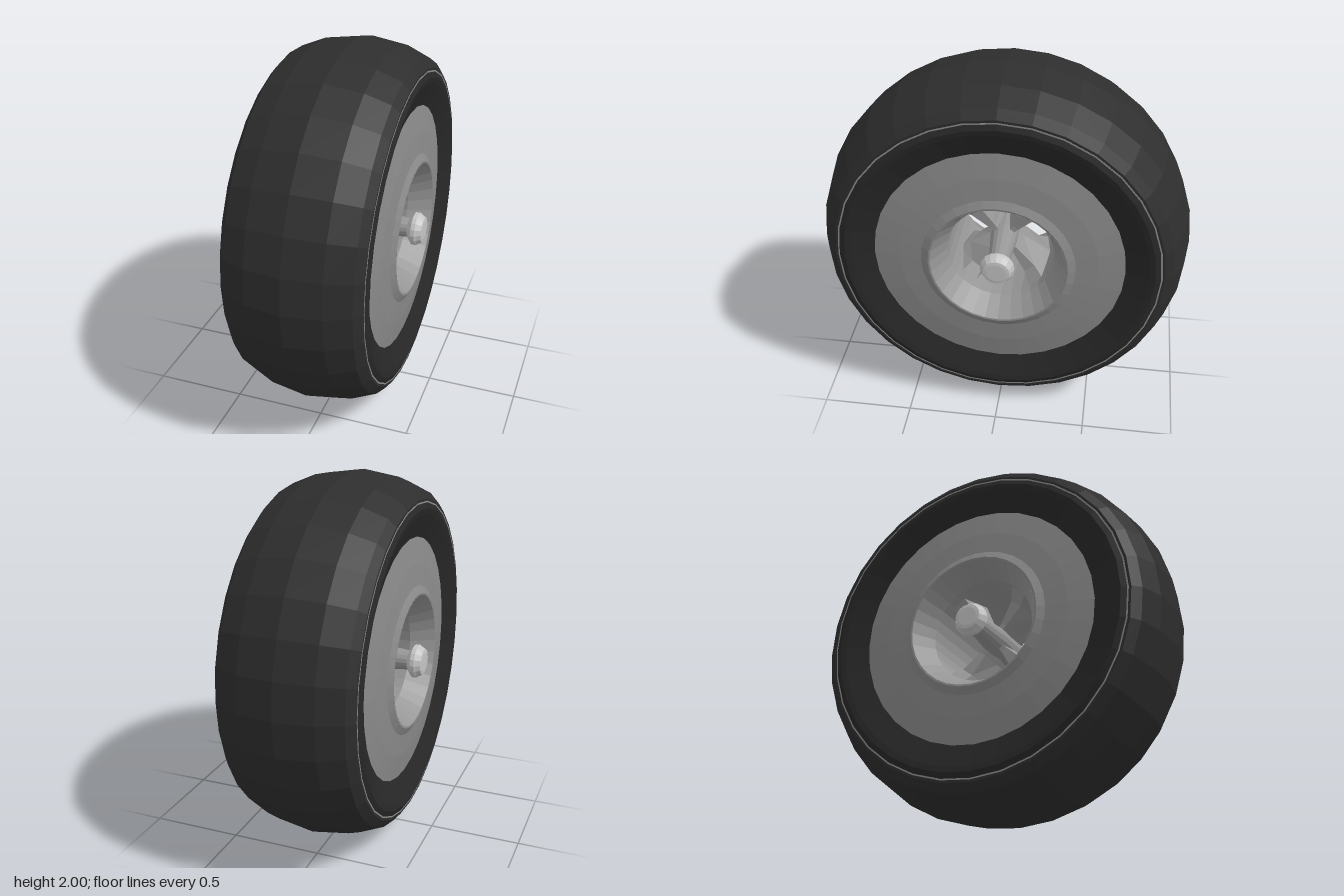
import * as THREE from 'three';

const SIDES = 32;
const paint = (name, color, side = THREE.FrontSide) => {
  const m = new THREE.MeshStandardMaterial({ color, flatShading: true, side });
  m.name = name;
  return m;
};

// Revolve [radius, x] points round the x axis
function revolve(points, sides = SIDES) {
  const g = new THREE.LatheGeometry(points.map(([r, x]) => new THREE.Vector2(r, x)), sides);
  return g.rotateZ(-Math.PI / 2);
}

// Mirror a half profile to the other side of the wheel
const mirrored = (half) => [...half.map(([r, x]) => [r, -x]).reverse(), ...half];

// Tapered spoke: six-sided cross-sections stacked along +y
function spokeGeometry() {
  const sections = [[0.04, 0.012, 0.03, 0.12], [0.1, 0.018, 0.036, 0.12], [0.23, 0.035, 0.08, 0.14], [0.3, 0.05, 0.103, 0.2]];
  const pos = [], index = [];
  for (const [r, f, m, d] of sections) {
    for (const [z, x] of [[-m, 0], [-f, -d], [f, -d], [m, 0], [f, d], [-f, d]]) pos.push(x, r, z);
  }
  for (let s = 0; s < sections.length - 1; s++) {
    for (let i = 0; i < 6; i++) {
      const a = s * 6 + i, b = s * 6 + (i + 1) % 6;
      index.push(a, b, b + 6, a, b + 6, a + 6);
    }
  }
  const g = new THREE.BufferGeometry();
  g.setAttribute('position', new THREE.Float32BufferAttribute(pos, 3));
  g.setIndex(index);
  g.computeVertexNormals();
  return g;
}

export function createModel() {
  const rubber = paint('tyre rubber', 0x2e2e2e);
  const sidewallPaint = paint('sidewall rubber', 0x282828);
  const grey = paint('rim grey', 0x8a8a8a);
  const metal = paint('spoke metal', 0x969696, THREE.DoubleSide);
  const bright = paint('hub metal', 0xc4c4c4);

  const wheel = new THREE.Group();
  wheel.name = 'wheel';
  wheel.position.y = 1;
  const add = (name, geometry, material) => {
    const mesh = new THREE.Mesh(geometry, material);
    mesh.name = name;
    wheel.add(mesh);
    return mesh;
  };

  // Tread and shoulders
  add('tread', revolve(mirrored([[1, 0], [0.97, 0.2], [0.915, 0.33], [0.87, 0.366], [0.857, 0.366], [0.84, 0.35]])), rubber);

  // Sidewalls, pinstripes, hub caps on both sides
  for (const side of [1, -1]) {
    const flip = (g) => (side < 0 ? g.rotateY(Math.PI) : g);
    add('sidewall', flip(revolve([[0.853, 0.34], [0.85, 0.366], [0.82, 0.378], [0.79, 0.372], [0.665, 0.327]])), sidewallPaint);
    add('pinstripe', flip(revolve([[0.857, 0.362], [0.857, 0.367], [0.849, 0.367]])), grey);
    add('hubCap', flip(revolve([[0.05, 0.34], [0.09, 0.37], [0.09, 0.392], [0.082, 0.402], [0.07, 0.424], [0.052, 0.427], [0, 0.427]], 16)), bright);
  }

  // Dished rim face with a raised lip
  add('rimFace', revolve(mirrored([[0.67, 0.327], [0.53, 0.348], [0.41, 0.358], [0.37, 0.378], [0.36, 0.376]])), grey);

  // Sloping mouth and inner barrel
  add('rimBarrel', revolve(mirrored([[0.36, 0.377], [0.29, 0.25], [0.29, 0]])), metal);

  // Axle, slightly flared towards the middle
  add('axle', revolve(mirrored([[0.075, 0], [0.075, 0.1], [0.05, 0.36]]), 16), metal);

  // Four wedge spokes on the diagonals
  const spoke = spokeGeometry();
  const tilt = THREE.MathUtils.degToRad(39.5);
  for (const angle of [tilt, -tilt, Math.PI - tilt, Math.PI + tilt]) {
    add('spoke', spoke, metal).rotation.x = angle;
  }

  const model = new THREE.Group();
  model.add(wheel);
  return model;
}
